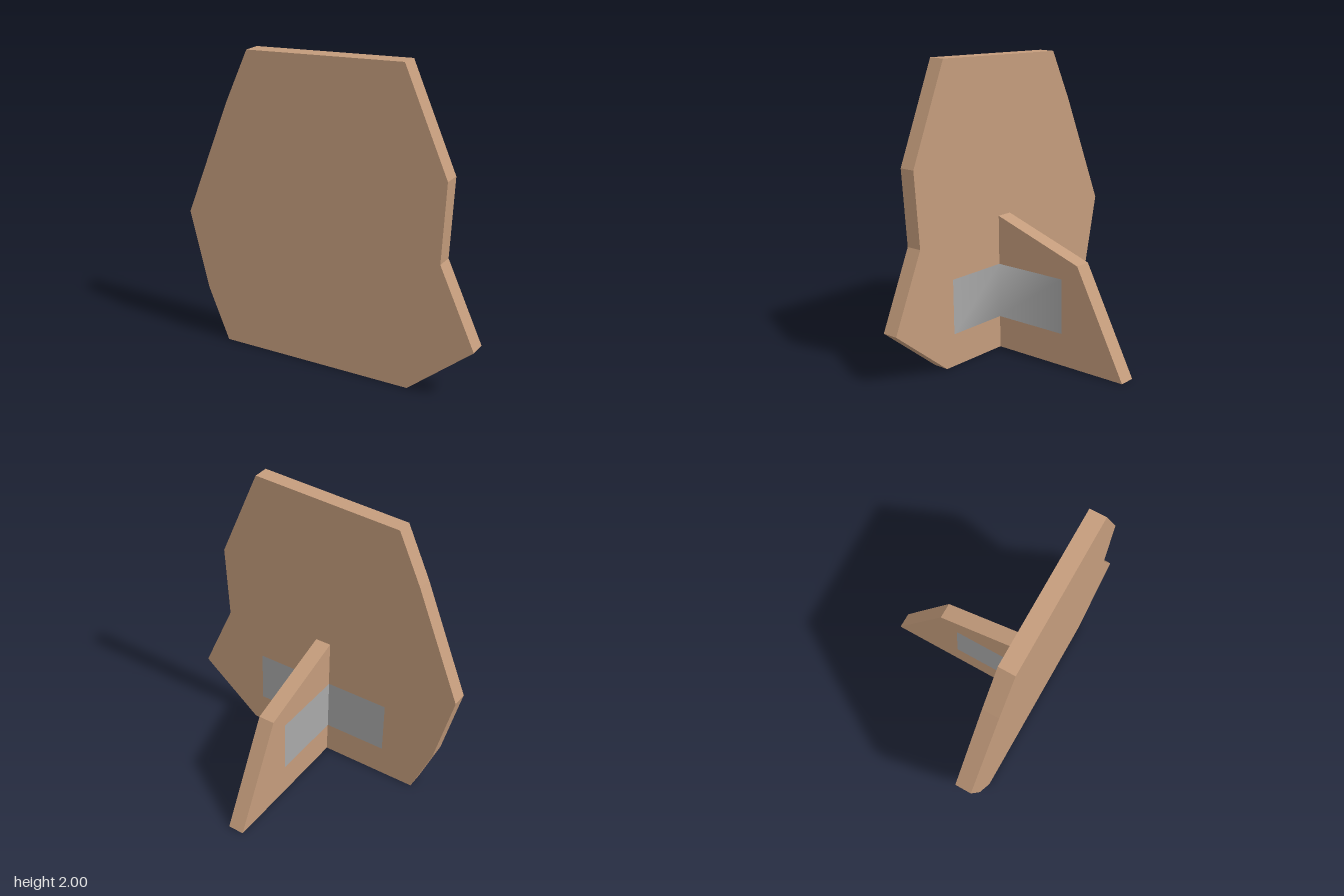
import * as THREE from 'three';

const cardboard = new THREE.MeshStandardMaterial({ color: 0xc49c7c });
cardboard.name = 'cardboard';
const tapeGrey = new THREE.MeshStandardMaterial({ color: 0xa8a8a8, side: THREE.DoubleSide });
tapeGrey.name = 'tapeGrey';

const THICK = 0.11;
const BACK = 0.455; // rear face of the panel

// Flat board cut from an outline
function board(name, points) {
  const shape = new THREE.Shape(points.map(([x, y]) => new THREE.Vector2(x, y)));
  const geo = new THREE.ExtrudeGeometry(shape, { depth: THICK, bevelEnabled: false });
  const mesh = new THREE.Mesh(geo, cardboard);
  mesh.name = name;
  return mesh;
}

// Vertical strip following a path of [x, z] points
function strip(name, path, y0, y1, smooth) {
  const positions = [];
  const index = [];
  path.forEach(([x, z], i) => {
    positions.push(x, y0, z, x, y1, z);
    if (i > 0) {
      const a = 2 * (i - 1);
      index.push(a, a + 2, a + 3, a, a + 3, a + 1);
    }
  });
  let geo = new THREE.BufferGeometry();
  geo.setAttribute('position', new THREE.Float32BufferAttribute(positions, 3));
  geo.setIndex(index);
  if (!smooth) geo = geo.toNonIndexed();
  geo.computeVertexNormals();
  const mesh = new THREE.Mesh(geo, tapeGrey);
  mesh.name = name;
  return mesh;
}

export function createModel() {
  const group = new THREE.Group();
  group.name = 'cardboardStandee';

  // Upright front panel
  const panel = board('frontPanel', [
    [-0.74, 0], [0.57, 0], [1, 0.345], [0.775, 0.85], [0.81, 1.355],
    [0.535, 2], [-0.515, 1.955], [-0.68, 1.61], [-1, 0.85], [-0.88, 0.345],
  ]);
  panel.position.z = BACK;
  group.add(panel);

  // Rear support fin, outline in (-z, y)
  const fin = board('rearSupport', [
    [-BACK, 0], [0.565, 0], [0.205, 0.7], [-BACK, 0.92],
  ]);
  fin.rotation.y = Math.PI / 2;
  fin.position.x = -THICK / 2;
  group.add(fin);

  // Folded tape joining the fin to the panel on both sides
  const gap = 0.004;
  const path = (s) => [
    [s * 0.5, BACK - gap],
    [s * (THICK / 2 + gap), BACK - gap],
    [s * (THICK / 2 + gap), -0.08],
  ];
  group.add(strip('leftTape', path(1), 0.22, 0.59, true));
  group.add(strip('rightTape', path(-1).reverse(), 0.22, 0.59, false));

  return group;
}
